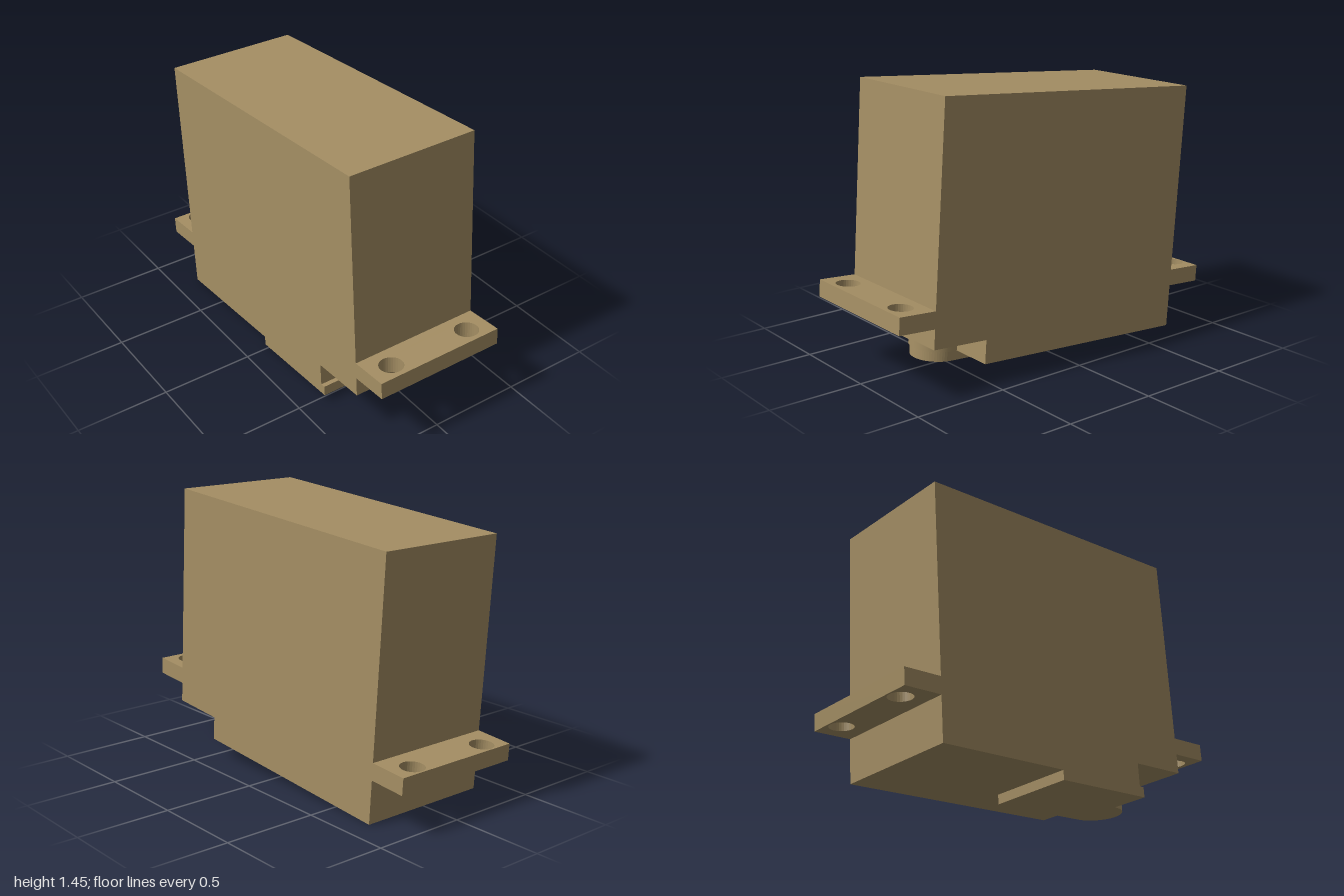
import * as THREE from 'three';

const HALF_WIDTH = 0.3635;
const TILT = THREE.MathUtils.degToRad(4.1);

// Extrudes a plan outline (x, z) downward from a given height
function slab(shape, top, thickness) {
  const geometry = new THREE.ExtrudeGeometry(shape, { depth: thickness, bevelEnabled: false, curveSegments: 16 });
  geometry.rotateX(Math.PI / 2);
  geometry.translate(0, top, 0);
  return geometry;
}

export function createModel() {
  const model = new THREE.Group();
  model.name = 'servoMotor';
  const tan = new THREE.MeshStandardMaterial({ color: 0xa58f64 });
  tan.name = 'tan';

  // Everything is built upright, then tipped back slightly
  const servo = new THREE.Group();
  servo.name = 'tiltedServo';
  servo.rotation.x = -TILT;
  model.add(servo);

  function add(name, geometry) {
    const mesh = new THREE.Mesh(geometry, tan);
    mesh.name = name;
    servo.add(mesh);
    return mesh;
  }

  // Case: side profile with a notch under the front
  const profile = new THREE.Shape([
    [-0.768, 0.057], [0.508, 0.057], [0.508, 0.183],
    [0.822, 0.183], [0.822, 1.4], [-0.768, 1.4],
  ].map(([z, y]) => new THREE.Vector2(z, y)));
  const caseGeometry = new THREE.ExtrudeGeometry(profile, { depth: HALF_WIDTH * 2, bevelEnabled: false });
  caseGeometry.translate(0, 0, -HALF_WIDTH);
  caseGeometry.rotateY(-Math.PI / 2);
  add('case', caseGeometry);

  // Mounting flanges, each with two screw holes
  const flanges = [
    { name: 'frontFlange', from: 0.822, to: 1.027, hole: 0.938 },
    { name: 'backFlange', from: -0.975, to: -0.768, hole: -0.904 },
  ];
  for (const { name, from, to, hole } of flanges) {
    const shape = new THREE.Shape();
    shape.moveTo(-HALF_WIDTH, from);
    shape.lineTo(HALF_WIDTH, from);
    shape.lineTo(HALF_WIDTH, to);
    shape.lineTo(-HALF_WIDTH, to);
    shape.closePath();
    for (const side of [-1, 1]) {
      const path = new THREE.Path();
      path.absarc(side * 0.237, hole, 0.063, 0, Math.PI * 2, true);
      shape.holes.push(path);
    }
    add(name, slab(shape, 0.378, 0.09));
  }

  // Bottom cover plate with a rounded nose around the shaft
  const cover = new THREE.Shape();
  cover.moveTo(-HALF_WIDTH, -0.03);
  cover.lineTo(0.122, -0.03);
  cover.lineTo(0.122, 0.535);
  cover.absarc(-0.015, 0.535, 0.137, 0, Math.PI, false);
  cover.lineTo(-HALF_WIDTH, 0.535);
  cover.closePath();
  add('coverPlate', slab(cover, 0.06, 0.054));

  // Shaft housing filling the notch above the nose
  const shaft = add('shaftHousing', new THREE.CylinderGeometry(0.145, 0.145, 0.125, 32));
  shaft.position.set(-0.015, 0.1215, 0.535);

  return model;
}
